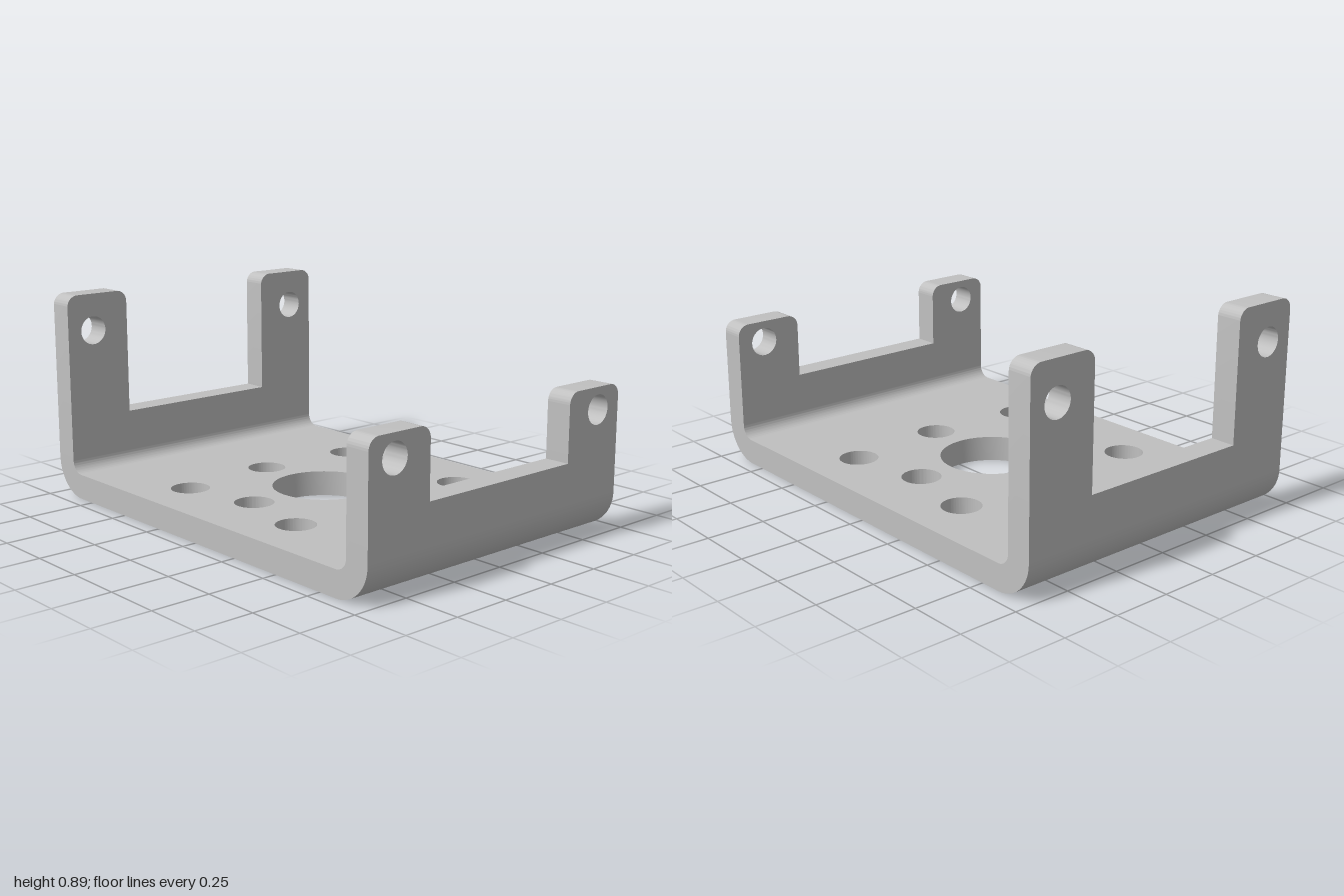
import * as THREE from 'three';
import { toCreasedNormals } from 'three/addons/utils/BufferGeometryUtils.js';

const HALF_W = 0.69;   // half width of the bracket
const T = 0.11;        // sheet thickness
const R_OUT = 0.165;   // outer bend radius
const R_IN = R_OUT - T;
const BEND_Z = 1 - R_OUT;

const circle = (x, y, r) => new THREE.Path().absarc(x, y, r, 0, Math.PI * 2, true);

function extrude(shape, depth, curveSegments) {
  const geo = new THREE.ExtrudeGeometry(shape, { depth, curveSegments, bevelEnabled: false });
  return toCreasedNormals(geo, 0.5);
}

// Floor plate with a large bore and a pattern of eight smaller holes
function floorGeometry() {
  const s = new THREE.Shape();
  s.moveTo(-HALF_W, -BEND_Z).lineTo(HALF_W, -BEND_Z).lineTo(HALF_W, BEND_Z).lineTo(-HALF_W, BEND_Z).closePath();
  s.holes.push(circle(0, 0, 0.222));
  for (const k of [-1, 1]) {
    s.holes.push(circle(0, k * 0.387, 0.083), circle(k * 0.385, 0, 0.083));
    for (const m of [-1, 1]) s.holes.push(circle(k * 0.455, m * 0.345, 0.083));
  }
  return extrude(s, T, 48).rotateX(-Math.PI / 2);
}

// Quarter-ring bend joining the floor to an upright wall
function bendGeometry() {
  const s = new THREE.Shape();
  s.absarc(BEND_Z, R_OUT, R_OUT, -Math.PI / 2, 0, false);
  s.absarc(BEND_Z, R_OUT, R_IN, 0, -Math.PI / 2, true);
  s.closePath();
  return extrude(s, HALF_W * 2, 16).rotateY(-Math.PI / 2).translate(HALF_W, 0, 0);
}

// Upright wall: two round-cornered ears with a wide notch between them
function wallGeometry(top, notchY, holeY) {
  const inner = 0.387, r = 0.05;
  const s = new THREE.Shape();
  s.moveTo(-HALF_W, R_OUT).lineTo(HALF_W, R_OUT);
  for (const [right, left] of [[HALF_W, inner], [-inner, -HALF_W]]) {
    if (right < 0) s.lineTo(right, notchY);
    s.lineTo(right, top - r);
    s.absarc(right - r, top - r, r, 0, Math.PI / 2, false);
    s.lineTo(left + r, top);
    s.absarc(left + r, top - r, r, Math.PI / 2, Math.PI, false);
    if (left > 0) s.lineTo(left, notchY);
  }
  s.closePath();
  for (const k of [-1, 1]) s.holes.push(circle(k * 0.563, holeY, 0.062));
  return extrude(s, T, 24);
}

export function createModel() {
  const steel = new THREE.MeshStandardMaterial({ color: 0xc0c0c0 });
  steel.name = 'grey metal';
  const group = new THREE.Group();
  group.name = 'bracket';

  const add = (name, geo) => {
    const mesh = new THREE.Mesh(geo, steel);
    mesh.name = name;
    group.add(mesh);
    return mesh;
  };

  add('floorPlate', floorGeometry());
  add('frontBend', bendGeometry());
  add('backBend', bendGeometry()).rotation.y = Math.PI;
  add('frontWall', wallGeometry(0.62, 0.336, 0.527)).position.z = 1 - T;
  add('backWall', wallGeometry(0.894, 0.343, 0.732)).position.z = -1;
  return group;
}
